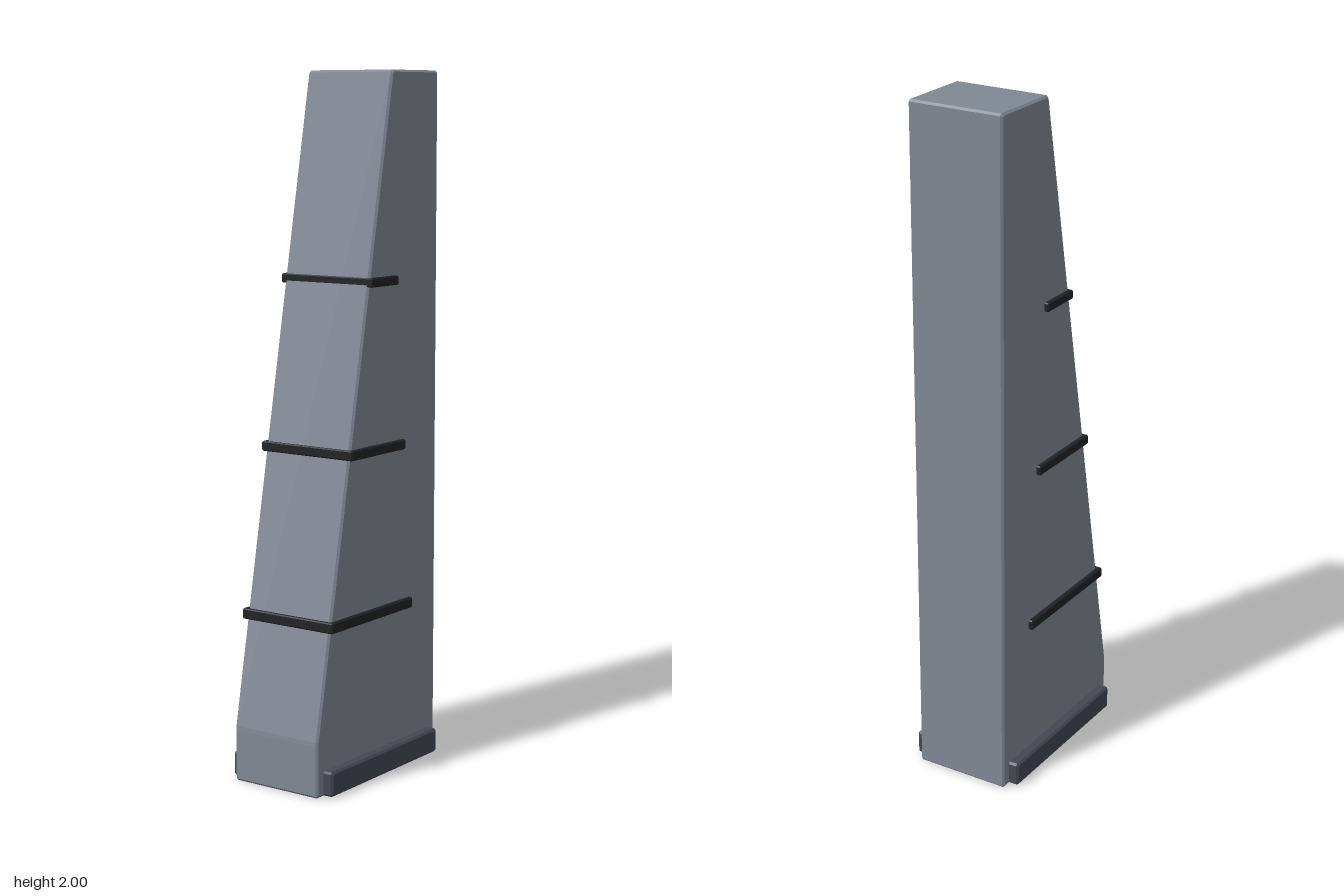
import * as THREE from 'three';

// Prism across x from a side profile of [z, y] corners, with all edges chamfered
function chamferedPrism(name, corners, width, bevel, color) {
  const pts = corners.map(([z, y]) => new THREE.Vector2(z, y));
  const outline = [];
  pts.forEach((p, i) => {
    const prev = pts[(i + pts.length - 1) % pts.length];
    const next = pts[(i + 1) % pts.length];
    for (const q of [prev, next]) {
      outline.push(p.clone().add(q.clone().sub(p).setLength(bevel)));
    }
  });
  const depth = width - 2 * bevel;
  const geometry = new THREE.ExtrudeGeometry(new THREE.Shape(outline), {
    depth, bevelEnabled: true, bevelThickness: bevel, bevelSize: bevel,
    bevelOffset: -bevel, bevelSegments: 1,
  });
  geometry.translate(0, 0, -depth / 2);
  geometry.rotateY(-Math.PI / 2);
  const mesh = new THREE.Mesh(geometry, new THREE.MeshStandardMaterial({ color }));
  mesh.name = name;
  return mesh;
}

const rect = (back, front, bottom, top) =>
  [[back, bottom], [front, bottom], [front, top], [back, top]];

export function createModel() {
  const model = new THREE.Group();
  model.name = 'taperedTower';

  // Tapered body: upright back, sloping front above a short vertical foot
  model.add(chamferedPrism('body',
    [[-0.293, 0], [0.293, 0], [0.293, 0.155], [-0.062, 2], [-0.293, 2]],
    0.29, 0.006, 0x808894));

  // Base plinth showing on both sides
  model.add(chamferedPrism('plinth', rect(-0.264, 0.264, 0.002, 0.073), 0.35, 0.006, 0x424852));

  // Dark bands wrapping the front, shorter towards the top
  [
    [-0.157, 0.24, 0.46, 0.49],
    [-0.118, 0.147, 0.931, 0.959],
    [-0.08, 0.0515, 1.404, 1.43],
  ].forEach((span, i) => {
    model.add(chamferedPrism(`band${i + 1}`, rect(...span), 0.316, 0.003, 0x202225));
  });

  return model;
}
